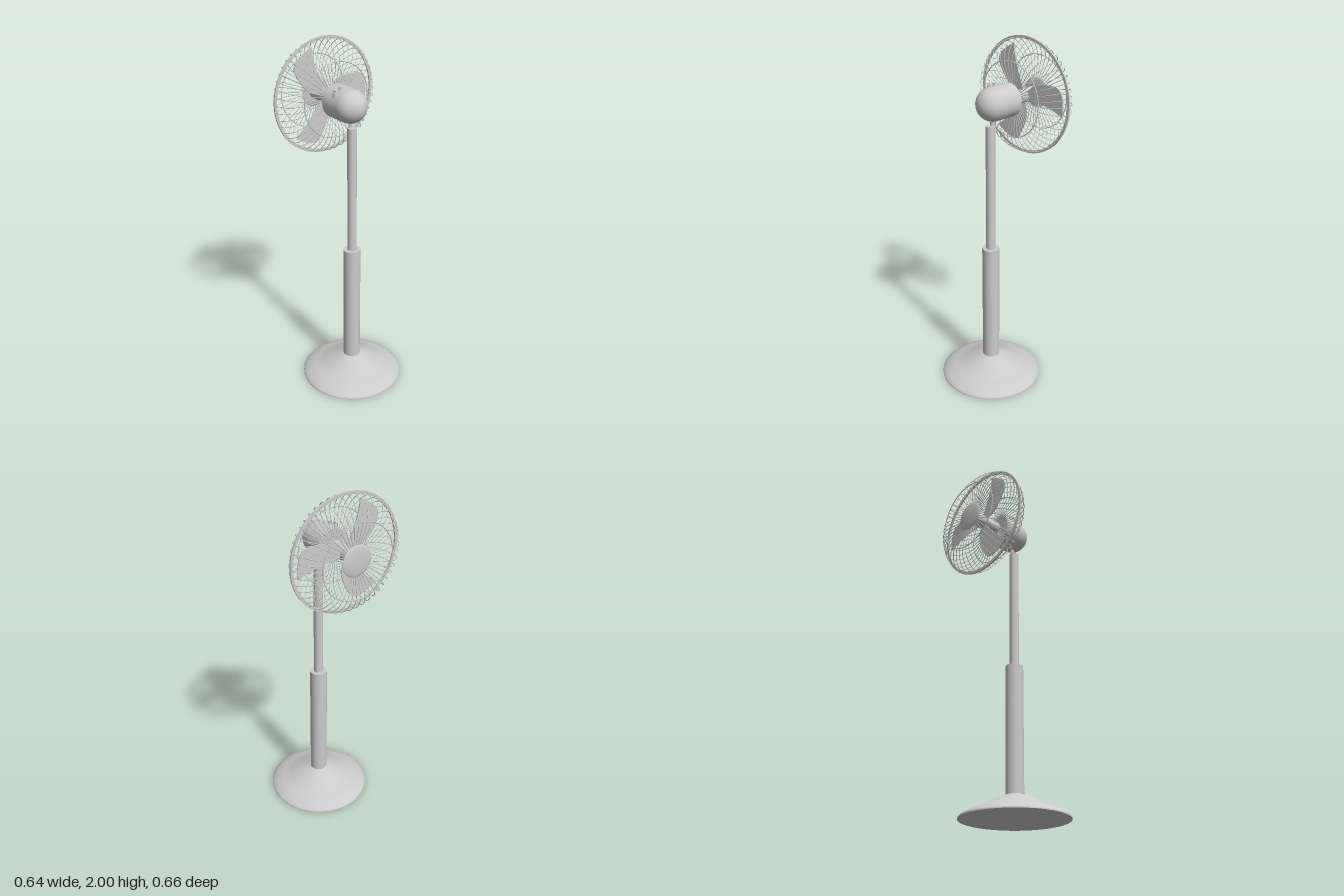
import * as THREE from 'three';

const V2 = (x, y) => new THREE.Vector2(x, y);
const V3 = (x, y, z) => new THREE.Vector3(x, y, z);

export function createModel() {
  const grey = new THREE.MeshStandardMaterial({ color: 0xcccccc });
  const thin = new THREE.MeshStandardMaterial({ color: 0xcccccc, side: THREE.DoubleSide });
  const model = new THREE.Group();
  model.name = 'pedestalFan';

  const add = (parent, name, geometry, x = 0, y = 0, z = 0, material = grey) => {
    const mesh = new THREE.Mesh(geometry, material);
    mesh.name = name;
    mesh.position.set(x, y, z);
    parent.add(mesh);
    return mesh;
  };

  // Stand: domed base, wide lower column, slim upper pole
  const stand = new THREE.Group();
  stand.name = 'stand';
  stand.position.set(-0.004, 0, 0.035);
  model.add(stand);
  const slope = new THREE.SplineCurve([
    V2(0.293, 0.006), V2(0.275, 0.022), V2(0.235, 0.043), V2(0.185, 0.062), V2(0.11, 0.098), V2(0.05, 0.125),
  ]).getPoints(24);
  add(stand, 'base', new THREE.LatheGeometry(
    [V2(0, 0), V2(0.293, 0), V2(0.293, 0), ...slope, V2(0.05, 0.125), V2(0, 0.125)], 64));
  add(stand, 'lowerColumn', new THREE.CylinderGeometry(0.049, 0.049, 0.72, 40), 0, 0.482);
  add(stand, 'upperPole', new THREE.CylinderGeometry(0.026, 0.026, 0.745, 32), 0, 1.193);
  add(stand, 'neckPin', new THREE.CylinderGeometry(0.01, 0.01, 0.1, 16), 0, 1.6, -0.015);

  // Motor housing: cylinder with a domed end
  const head = new THREE.Group();
  head.name = 'head';
  head.position.y = 1.68;
  model.add(head);
  const profile = [V2(0, -0.105), V2(0.091, -0.105), V2(0.091, -0.105)];
  for (let i = 0; i <= 16; i++) {
    const a = (i / 16) * Math.PI / 2;
    profile.push(V2(0.091 * Math.cos(a), 0.018 + 0.091 * Math.sin(a)));
  }
  add(head, 'motorHousing', new THREE.LatheGeometry(profile, 48), -0.004).rotation.x = Math.PI / 2;

  // Controls on top of the housing
  add(head, 'speedKnob', new THREE.CylinderGeometry(0.013, 0.013, 0.03, 24), -0.07, 0.062, -0.024);
  add(head, 'knobGrip', new THREE.BoxGeometry(0.006, 0.008, 0.024), -0.07, 0.08, -0.024);
  add(head, 'swingButton', new THREE.CylinderGeometry(0.009, 0.009, 0.03, 20), -0.037, 0.085, -0.025);

  // Hub running through the cage, closed by a round cap
  const midZ = -0.216;
  add(head, 'hub', new THREE.CylinderGeometry(0.038, 0.038, 0.21, 32), -0.002, 0, -0.207)
    .rotation.x = Math.PI / 2;
  add(head, 'cageCap', new THREE.SphereGeometry(0.085, 40, 16), 0, 0, -0.312).scale.z = 0.13;

  // Three flat swept blades
  const blade = new THREE.Shape();
  blade.moveTo(0.02, 0.02);
  blade.lineTo(0.06, 0.06);
  blade.bezierCurveTo(0.1, 0.085, 0.15, 0.09, 0.21, 0.09);
  blade.bezierCurveTo(0.275, 0.09, 0.28, 0.02, 0.275, -0.068);
  blade.bezierCurveTo(0.23, -0.04, 0.14, -0.02, 0.03, -0.012);
  const bladeGeometry = new THREE.ExtrudeGeometry(blade, { depth: 0.006, bevelEnabled: false, curveSegments: 14 });
  for (let i = 0; i < 3; i++) {
    add(head, 'blade', bladeGeometry, 0, 0, midZ - 0.003).rotation.z = (i * Math.PI * 2) / 3;
  }

  // Cage wires: one bowed wire repeated around the hub
  const half = [[0.05, 0.088], [0.13, 0.095], [0.19, 0.102], [0.235, 0.092], [0.28, 0.064], [0.306, 0.03]];
  const wirePoints = [
    ...half.map(([r, z]) => V3(r, 0, z)),
    V3(0.311, 0, 0),
    ...half.slice().reverse().map(([r, z]) => V3(r, 0, -z)),
  ];
  const wire = new THREE.TubeGeometry(new THREE.CatmullRomCurve3(wirePoints), 44, 0.002, 6);
  const cage = new THREE.Group();
  cage.name = 'cage';
  cage.position.z = midZ;
  head.add(cage);
  const count = 48;
  for (let i = 0; i < count; i++) {
    add(cage, 'cageWire', wire, 0, 0, 0, thin).rotation.z = Math.PI / 2 + (i * Math.PI * 2) / count;
  }

  // Flat outer rim and two reinforcing rings
  const rim = new THREE.Shape().absarc(0, 0, 0.32, 0, Math.PI * 2);
  rim.holes.push(new THREE.Path().absarc(0, 0, 0.304, 0, Math.PI * 2, true));
  add(cage, 'outerRim', new THREE.ExtrudeGeometry(rim, { depth: 0.009, bevelEnabled: false, curveSegments: 64 }), 0, 0, -0.0045);
  for (const side of [-1, 1]) {
    add(cage, 'cageRing', new THREE.TorusGeometry(0.205, 0.0028, 8, 80), 0, 0, side * 0.111);
  }
  return model;
}
